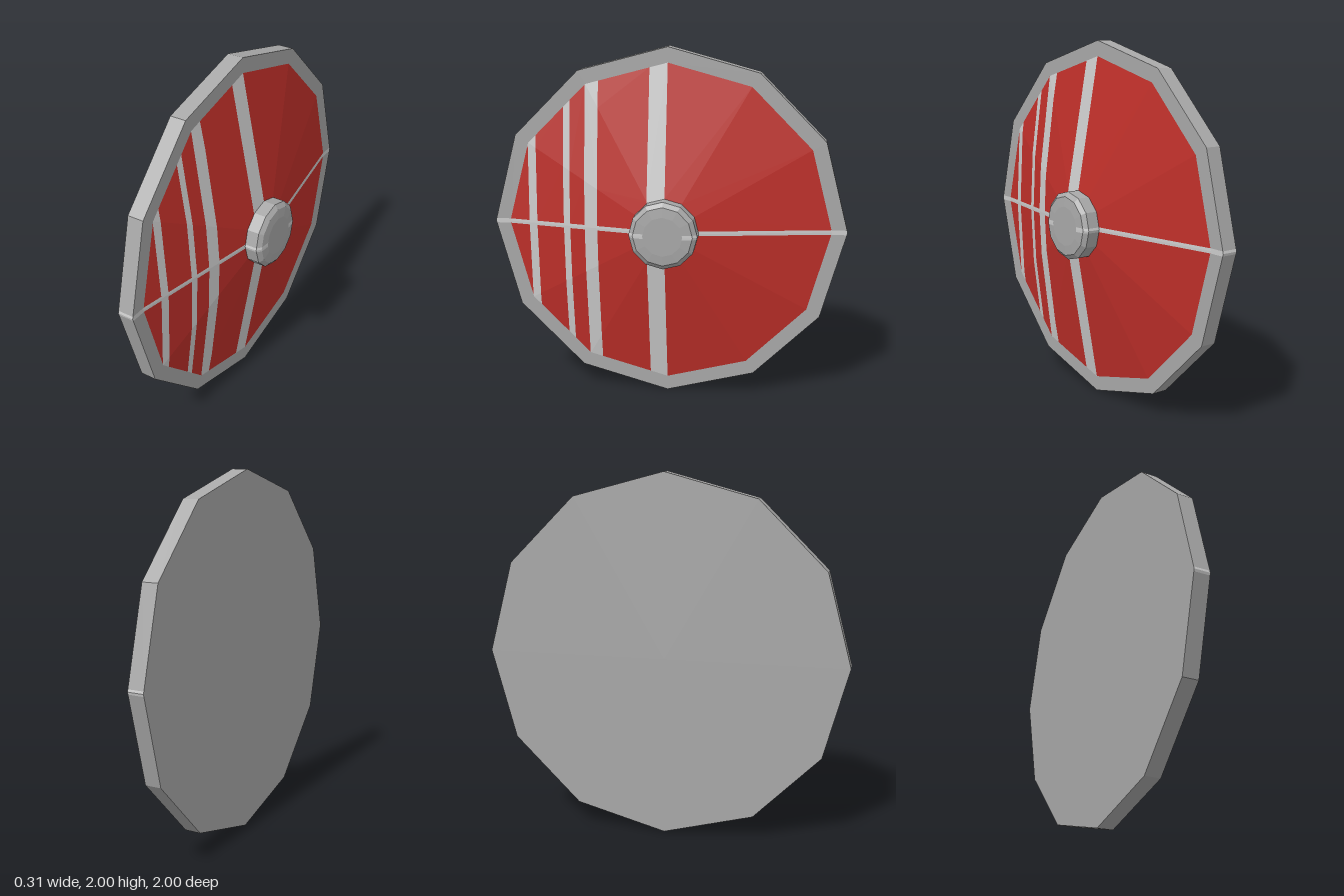
import * as THREE from 'three';

const SIDES = 12;
const CENTRE = 1;

// Keeps the part of a convex polygon where axis lies between lo and hi
function clipBand(poly, axis, lo, hi) {
  for (const [limit, sign] of [[lo, 1], [hi, -1]]) {
    const out = [];
    poly.forEach((p, i) => {
      const q = poly[(i + 1) % poly.length];
      const dp = sign * (p[axis] - limit);
      const dq = sign * (q[axis] - limit);
      if (dp >= 0) out.push(p);
      if (dp * dq < 0) out.push(p.clone().lerp(q, dp / (dp - dq)));
    });
    poly = out;
  }
  return poly;
}

// Flat quads of a profile [x, radius] turned about the x axis
function turnedFacets(profile) {
  const facets = [];
  const point = ([x, r], k) => {
    const t = (k / SIDES) * Math.PI * 2;
    return new THREE.Vector3(x, r * Math.cos(t), r * Math.sin(t));
  };
  for (let j = 0; j < profile.length - 1; j++) {
    const a = profile[j], b = profile[j + 1];
    for (let k = 0; k < SIDES; k++) {
      facets.push([point(a, k), point(a, k + 1), point(b, k + 1), point(b, k)]);
    }
  }
  return facets;
}

// Flat-shaded mesh from convex polygons
function polygonMesh(name, polys, material) {
  const points = [];
  const tri = new THREE.Triangle();
  for (const p of polys) {
    for (let i = 1; i < p.length - 1; i++) {
      tri.set(p[0], p[i], p[i + 1]);
      if (tri.getArea() > 1e-8) points.push(p[0], p[i], p[i + 1]);
    }
  }
  const geometry = new THREE.BufferGeometry().setFromPoints(points);
  geometry.computeVertexNormals();
  const mesh = new THREE.Mesh(geometry, material);
  mesh.name = name;
  mesh.position.y = CENTRE;
  return mesh;
}

export function createModel() {
  const paint = (color) => new THREE.MeshStandardMaterial({ color, flatShading: true });
  const metal = paint(0xa8a8a8);
  const red = paint(0xbe2f29);
  const stripe = paint(0xcccccc);

  const group = new THREE.Group();
  group.name = 'roundShield';

  // Bands across z on the painted face (odd intervals are pale stripes)
  const zCuts = [-2, 0, 0.1, 0.385, 0.46, 0.547, 0.585, 0.747, 0.795, 2];
  // Bands across y (the middle one is the thin horizontal line)
  const yCuts = [-2, -0.013, 0.013, 2];

  // Divides facets into plain and line polygons by the horizontal band
  const splitLine = (facets) => {
    const plain = [], line = [];
    for (const f of facets) {
      for (let i = 0; i < 3; i++) {
        const p = clipBand(f, 'y', yCuts[i], yCuts[i + 1]);
        if (p.length > 2) (i === 1 ? line : plain).push(p);
      }
    }
    return { plain, line };
  };

  // Flat back
  group.add(polygonMesh('back', turnedFacets([[-0.16, 0], [-0.16, 1]]), metal));

  // Rim: outer edge and front border
  const rim = splitLine(turnedFacets([[-0.16, 1], [-0.07, 1], [-0.07, 0.915]]));
  group.add(polygonMesh('rim', rim.plain, metal));

  // Shallow conical face, painted red with pale stripes
  const face = splitLine(turnedFacets([[-0.07, 0.915], [0.06, 0.19]]));
  const redParts = [], stripes = [];
  for (const f of face.plain) {
    for (let i = 0; i < zCuts.length - 1; i++) {
      const p = clipBand(f, 'z', zCuts[i], zCuts[i + 1]);
      if (p.length > 2) (i % 2 ? stripes : redParts).push(p);
    }
  }
  group.add(polygonMesh('face', redParts, red));
  group.add(polygonMesh('verticalStripes', stripes, stripe));

  // Bevelled central boss with a plain flat cap
  const boss = splitLine(turnedFacets([[0.06, 0.19], [0.13, 0.19], [0.15, 0.165], [0.155, 0.11]]));
  group.add(polygonMesh('boss', boss.plain, metal));
  group.add(polygonMesh('bossCap', turnedFacets([[0.155, 0.11], [0.155, 0]]), metal));

  // Thin horizontal line over rim, face and boss
  group.add(polygonMesh('horizontalLine', [...rim.line, ...face.line, ...boss.line], stripe));

  return group;
}
